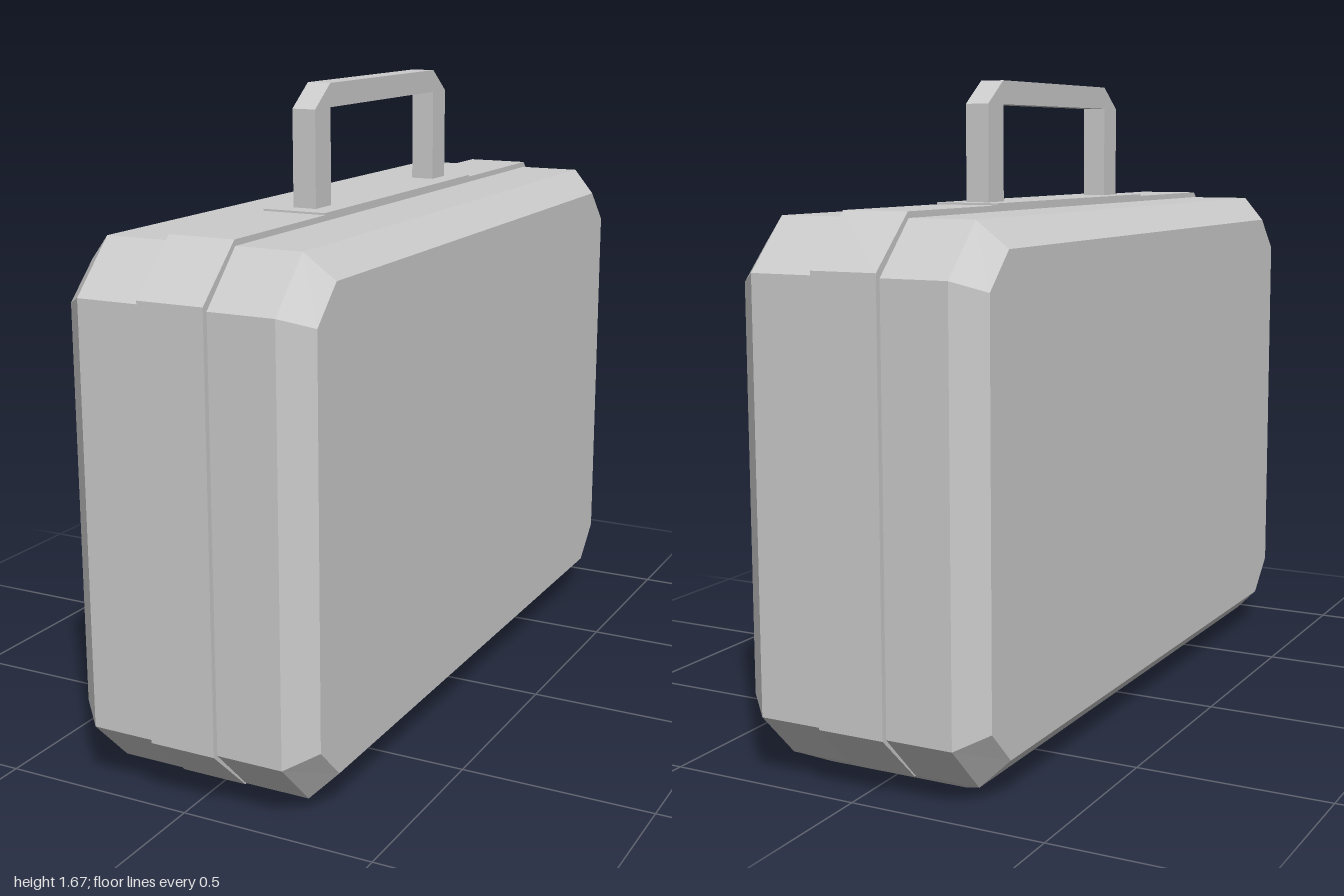
import * as THREE from 'three';

const material = new THREE.MeshStandardMaterial({ color: 0xcccccc, flatShading: true });

// Skin a row of matching convex rings and cap both ends (rings run counter-clockwise about the row's direction)
function loft(rings) {
  const pos = [];
  const tri = (a, b, c) => pos.push(...a, ...b, ...c);
  const n = rings[0].length;
  for (let i = 0; i < rings.length - 1; i++) {
    for (let j = 0; j < n; j++) {
      const k = (j + 1) % n;
      const [a, b, c, d] = [rings[i][j], rings[i][k], rings[i + 1][k], rings[i + 1][j]];
      tri(a, b, c);
      tri(a, c, d);
    }
  }
  const first = rings[0], last = rings[rings.length - 1];
  for (let j = 1; j < n - 1; j++) {
    tri(first[0], first[j + 1], first[j]);
    tri(last[0], last[j], last[j + 1]);
  }
  const geo = new THREE.BufferGeometry();
  geo.setAttribute('position', new THREE.Float32BufferAttribute(pos, 3));
  geo.computeVertexNormals();
  return geo;
}

// Rectangle with cut corners at a given x: bottom, top, half depth, and the corner cuts in y and z
function octagon(x, y0, y1, z, cy, cz) {
  return [
    [x, y0, -z + cz], [x, y0 + cy, -z], [x, y1 - cy, -z], [x, y1, -z + cz],
    [x, y1, z - cz], [x, y1 - cy, z], [x, y0 + cy, z], [x, y0, z - cz],
  ].reverse().map((p) => p).reverse();
}

// Rectangle in a horizontal plane
function rect(y, x, z0, z1) {
  return [[-x, y, z0], [-x, y, z1], [x, y, z1], [x, y, z0]];
}

export function createModel() {
  const group = new THREE.Group();
  const add = (name, geo) => {
    const mesh = new THREE.Mesh(geo, material);
    mesh.name = name;
    group.add(mesh);
    return mesh;
  };

  // Case shell with bevelled side panels
  const panel = (x) => octagon(x, 0.1, 1.28, 0.92, 0.09, 0.09);
  const rim = (x) => octagon(x, 0.033, 1.345, 0.985, 0.127, 0.125);
  add('caseShell', loft([panel(-0.327), rim(-0.26), rim(0.26), panel(0.327)]));

  // Raised band around the middle
  const band = (x) => octagon(x, 0.031, 1.36, 1, 0.13, 0.137);
  add('centreBand', loft([band(-0.087), band(0.087)]));

  // Thin plate under the handle
  const plate = new THREE.BoxGeometry(0.174, 0.01, 0.88);
  add('handlePlate', plate).position.y = 1.36;

  // Sloped feet, front and back
  add('frontFoot', loft([rect(0, 0.19, 0.45, 0.8), rect(0.034, 0.26, 0.4, 0.86)]));
  add('backFoot', loft([rect(0, 0.19, -0.8, -0.45), rect(0.034, 0.26, -0.86, -0.4)]));

  // Square-section carrying handle
  const outline = [
    [-0.385, 1.35], [-0.305, 1.35], [-0.305, 1.61], [0.305, 1.61], [0.305, 1.35],
    [0.385, 1.35], [0.385, 1.61], [0.305, 1.67], [-0.305, 1.67], [-0.385, 1.61],
  ].map(([z, y]) => new THREE.Vector2(z, y));
  const handle = new THREE.ExtrudeGeometry(new THREE.Shape(outline), { depth: 0.064, bevelEnabled: false });
  handle.translate(0, 0, -0.032).rotateY(-Math.PI / 2);
  add('handle', handle);

  return group;
}
